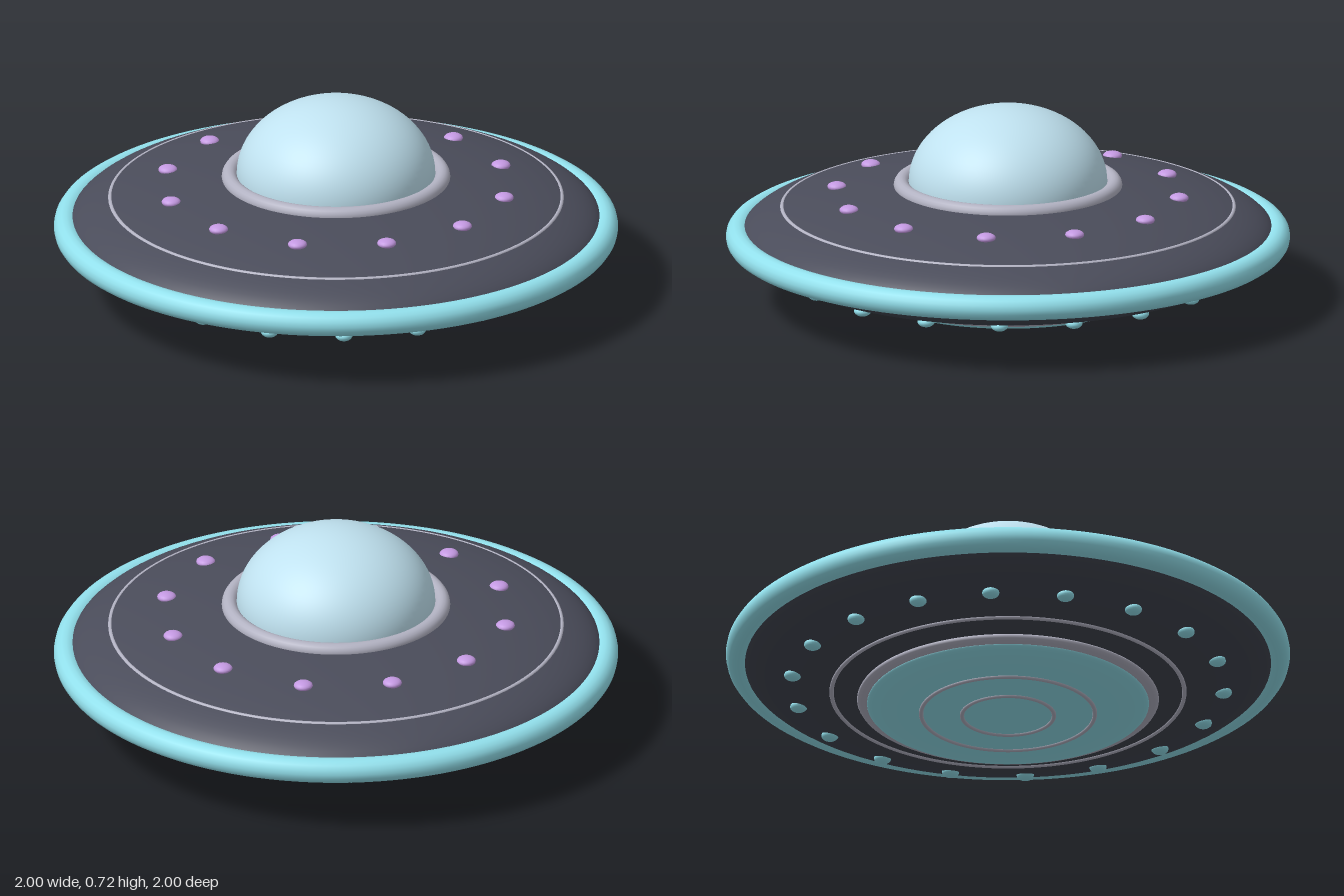
import * as THREE from 'three';

export function createModel() {
  const model = new THREE.Group();
  const paint = (color) => new THREE.MeshStandardMaterial({ color });
  const upperHull = paint(0x4a4c5a), lowerHull = paint(0x40444f), cyan = paint(0x92e0ec);
  const metal = paint(0xb2b2c2), glass = paint(0xbfe1ef), violet = paint(0xc499e2);

  function add(name, geometry, material, y, parent = model) {
    const mesh = new THREE.Mesh(geometry, material);
    mesh.name = name;
    mesh.position.y = y;
    parent.add(mesh);
    return mesh;
  }

  // Half ellipsoid; a negative height hangs below its base
  function cap(name, radius, height, y, material) {
    const geometry = height > 0
      ? new THREE.SphereGeometry(1, 96, 24, 0, Math.PI * 2, 0, Math.PI / 2)
      : new THREE.SphereGeometry(1, 96, 24, 0, Math.PI * 2, Math.PI / 2, Math.PI / 2);
    geometry.scale(radius, Math.abs(height), radius);
    return add(name, geometry, material, y);
  }

  // Horizontal ring, optionally flattened
  function ring(name, radius, tube, y, material, flatten = 1) {
    const geometry = new THREE.TorusGeometry(radius, tube, 16, 128);
    geometry.rotateX(Math.PI / 2).scale(1, flatten, 1);
    return add(name, geometry, material, y);
  }

  // Circle of flattened round lights
  function lights(name, count, start, radius, y, size, height, material) {
    const group = new THREE.Group();
    group.name = name;
    const geometry = new THREE.SphereGeometry(1, 20, 12).scale(size, height, size);
    for (let i = 0; i < count; i++) {
      const a = start + (i / count) * Math.PI * 2;
      const light = add('light', geometry, material, y, group);
      light.position.x = Math.cos(a) * radius;
      light.position.z = Math.sin(a) * radius;
    }
    model.add(group);
  }

  // Saucer body and rim
  cap('upperHull', 0.95, 0.205, 0.25, upperHull);
  cap('lowerHull', 0.95, -0.2, 0.25, lowerHull);
  ring('rim', 0.955, 0.045, 0.249, cyan);

  // Cockpit dome with its collar
  cap('dome', 0.352, 0.273, 0.45, glass);
  ring('domeCollar', 0.377, 0.028, 0.438, metal);

  // Trim lines on the hull
  ring('upperTrim', 0.8, 0.008, 0.355, metal);
  ring('lowerTrim', 0.625, 0.008, 0.1, metal);

  // Engine plate underneath
  ring('engineRing', 0.485, 0.05, 0.071, metal, 0.36);
  cap('enginePlate', 0.5, -0.05, 0.055, cyan);
  ring('outerEngineTrim', 0.308, 0.008, 0.016, metal);
  ring('innerEngineTrim', 0.163, 0.008, 0.0085, metal);

  // Signal lights
  lights('upperLights', 12, Math.PI / 12, 0.611, 0.41, 0.034, 0.017, violet);
  lights('lowerLights', 18, 0, 0.766, 0.131, 0.031, 0.02, cyan);

  return model;
}
